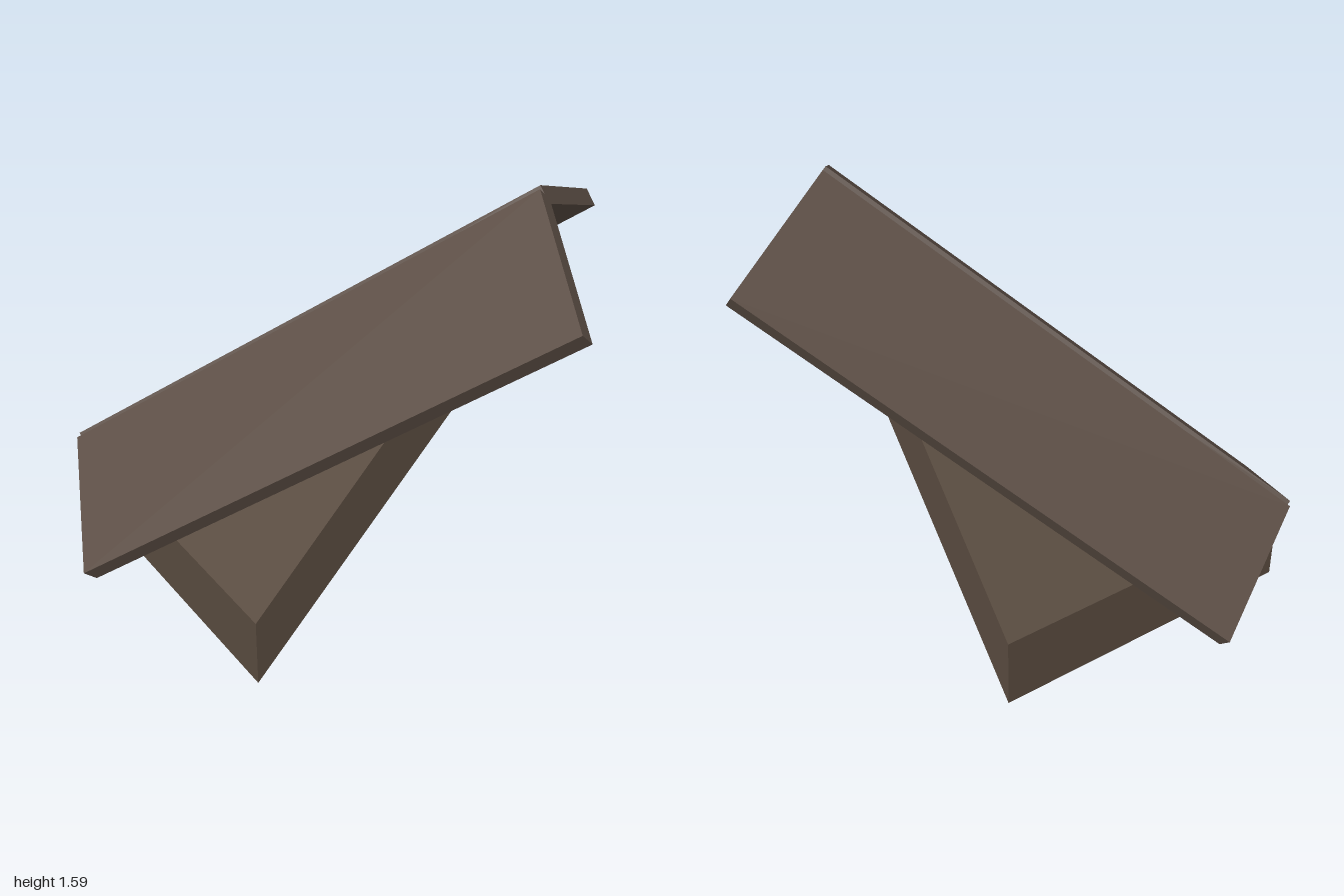
import * as THREE from 'three';

export function createModel() {
  const group = new THREE.Group();
  const roofBrown = new THREE.MeshStandardMaterial({ color: 0x5c4e45 });
  roofBrown.name = 'roof brown';
  const bodyBrown = new THREE.MeshStandardMaterial({ color: 0x594b3f });
  bodyBrown.name = 'body brown';

  // Folded body: a thick square plate with its back corner lifted,
  // creased along the diagonal ridge
  const lo = -0.71, hi = 0.53, rise = hi - lo, thick = 0.285;
  const base = [[lo, 0, -lo], [hi, 0, -lo], [hi, rise, -hi], [lo, 0, -hi]];
  const corners = [...base, ...base.map(([x, y, z]) => [x, y + thick, z])];
  const faces = [4, 5, 6, 4, 6, 7, 0, 2, 1, 0, 3, 2];
  for (let i = 0; i < 4; i++) {
    const j = (i + 1) % 4;
    faces.push(i, j, j + 4, i, j + 4, i + 4);
  }
  const bodyGeometry = new THREE.BufferGeometry();
  bodyGeometry.setAttribute('position',
    new THREE.Float32BufferAttribute(faces.flatMap((i) => corners[i]), 3));
  bodyGeometry.computeVertexNormals();
  const body = new THREE.Mesh(bodyGeometry, bodyBrown);
  body.name = 'foldedBody';
  group.add(body);

  // Two long roof boards meeting along the sloping ridge
  const ridge = new THREE.Vector3(1, 1, -1).normalize();
  const boardGeometry = new THREE.BoxGeometry(1.24 * Math.sqrt(3), 0.05 * Math.SQRT2, 0.245 * Math.sqrt(6));
  function addBoard(name, center, normal) {
    const up = new THREE.Vector3(...normal).normalize();
    const across = ridge.clone().cross(up);
    const board = new THREE.Mesh(boardGeometry, roofBrown);
    board.name = name;
    board.quaternion.setFromRotationMatrix(new THREE.Matrix4().makeBasis(ridge, up, across));
    board.position.set(...center);
    group.add(board);
  }
  addBoard('frontRoofBoard', [0.135, 0.825, 0.23], [0, 1, 1]);
  addBoard('sideRoofBoard', [-0.23, 0.825, -0.135], [-1, 1, 0]);

  return group;
}
